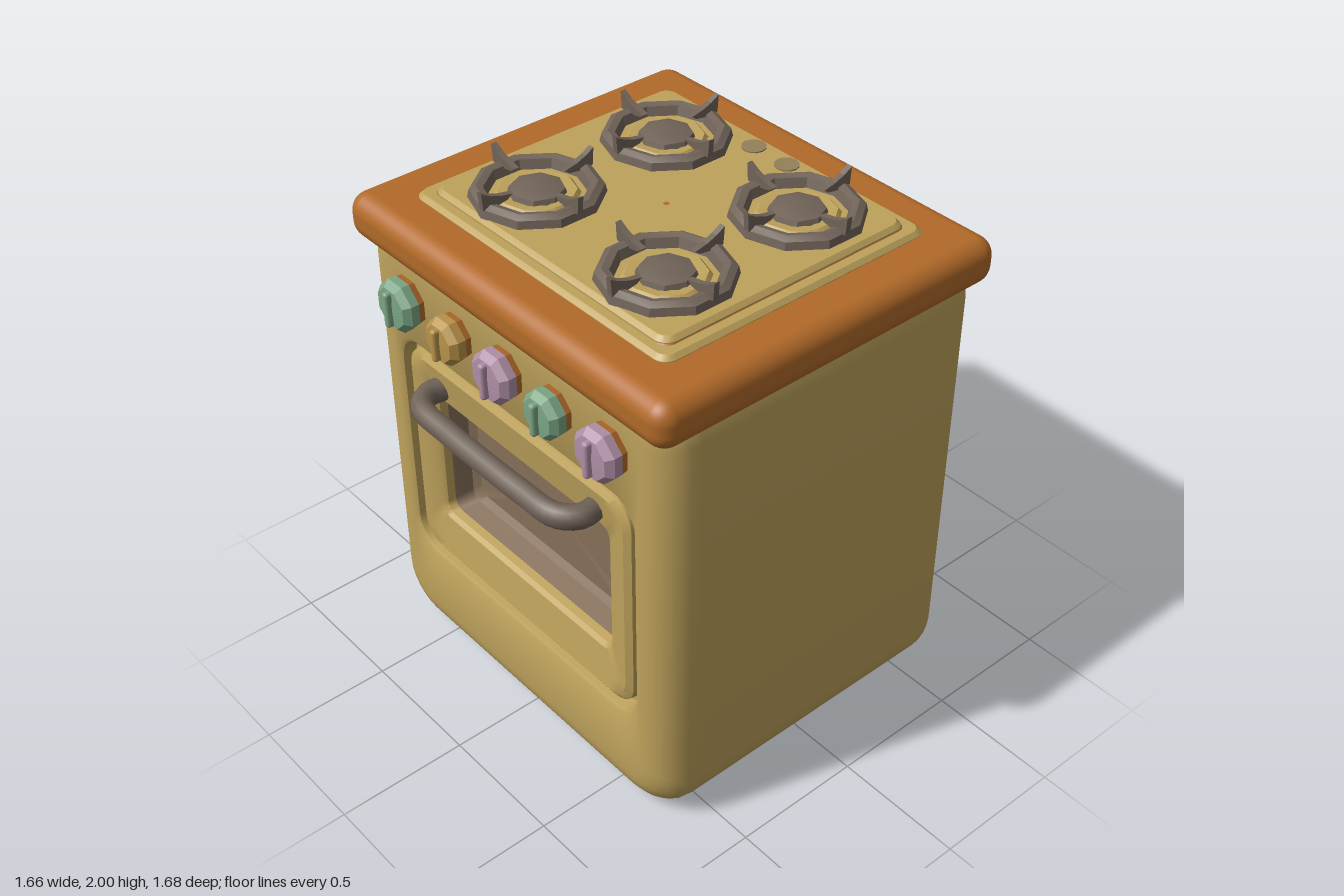
import * as THREE from 'three';
import { toCreasedNormals } from 'three/addons/utils/BufferGeometryUtils.js';
import { RoundedBoxGeometry } from 'three/addons/geometries/RoundedBoxGeometry.js';

const material = (name, color) => new THREE.MeshStandardMaterial({ name, color });

// Skin a stack of rounded rectangles [halfWidth, bottom, top, cornerRadius, z], running towards +z
function loft(rings, corner = 6) {
  const pos = [], index = [], n = 4 * (corner + 1);
  for (const [w, y0, y1, r, z] of rings) {
    const centres = [[w - r, y1 - r], [r - w, y1 - r], [r - w, y0 + r], [w - r, y0 + r]];
    centres.forEach(([cx, cy], q) => {
      for (let k = 0; k <= corner; k++) {
        const a = (q + k / corner) * Math.PI / 2;
        pos.push(cx + r * Math.cos(a), cy + r * Math.sin(a), z);
      }
    });
  }
  for (let i = 0; i < rings.length - 1; i++) {
    for (let j = 0; j < n; j++) {
      const a = i * n + j, b = i * n + (j + 1) % n;
      index.push(a, b, b + n, a, b + n, a + n);
    }
  }
  const g = new THREE.BufferGeometry();
  g.setAttribute('position', new THREE.Float32BufferAttribute(pos, 3));
  g.setIndex(index);
  return toCreasedNormals(g, 0.6);
}

export function createModel() {
  const model = new THREE.Group();
  model.name = 'stove';
  const enamel = material('mustard enamel', 0xbea25c);
  const orange = material('orange rim', 0xb26a29);
  const metal = material('grey brown metal', 0x716459);
  const glass = material('brown window', 0x86705a);
  const green = material('sage green', 0x7ca585);
  const pink = material('dusty pink', 0xb08fa6);
  const ochre = material('ochre', 0xb8944a);
  const stain = material('dull brown', 0x94805a);

  const add = (name, geometry, mat, x = 0, y = 0, z = 0, parent = model) => {
    const mesh = new THREE.Mesh(geometry, mat);
    mesh.name = name;
    mesh.position.set(x, y, z);
    parent.add(mesh);
    return mesh;
  };

  // Body: rounded outer skin, then the door groove, door face and window recess
  const R = 0.13, steps = 6;
  const skin = (inset, z) => [0.81 - inset, inset, 1.85 - inset, 0.19 - inset * 0.6, z];
  const back = [], front = [];
  for (let i = 0; i <= steps; i++) {
    const a = i / steps * Math.PI / 2;
    back.push(skin(R * (1 - Math.sin(a)), -0.69 + R * (1 - Math.cos(a))));
    front.push(skin(R * (1 - Math.cos(a)), 0.69 - R + R * Math.sin(a)));
  }
  add('bodyAndDoor', loft([
    [0.01, 0.9, 0.92, 0.005, -0.69], ...back, ...front,
    [0.65, 0.4, 1.38, 0.12, 0.69],
    [0.635, 0.415, 1.365, 0.11, 0.68],
    [0.63, 0.42, 1.36, 0.11, 0.63],
    [0.61, 0.435, 1.345, 0.1, 0.63],
    [0.605, 0.44, 1.34, 0.1, 0.67],
    [0.58, 0.465, 1.315, 0.09, 0.685],
    [0.55, 0.5, 1.28, 0.08, 0.68],
    [0.49, 0.615, 1.175, 0.05, 0.665],
    [0.475, 0.63, 1.16, 0.04, 0.65],
    [0.47, 0.635, 1.155, 0.04, 0.62],
  ]), enamel);
  add('ovenWindow', loft([
    [0.47, 0.635, 1.155, 0.04, 0.62],
    [0.455, 0.65, 1.14, 0.04, 0.55],
    [0.43, 0.675, 1.12, 0.04, 0.53],
    [0.01, 0.89, 0.91, 0.005, 0.53],
  ]), glass);

  // Handles: straight bar on the door, bowed rail at the back
  const rail = (name, points, radius, flat) => {
    const curve = new THREE.CatmullRomCurve3(points.map(([x, z]) => new THREE.Vector3(x, 0, z)));
    const g = new THREE.TubeGeometry(curve, 40, radius, 10);
    g.scale(1, flat, 1);
    return add(name, g, metal);
  };
  rail('doorHandle', [[-0.42, 0.65], [-0.425, 0.73], [-0.37, 0.787], [-0.2, 0.8], [0, 0.802],
    [0.2, 0.8], [0.37, 0.787], [0.425, 0.73], [0.42, 0.65]], 0.042, 1.08).position.y = 1.228;
  rail('backRail', [[-0.43, -0.67], [-0.4, -0.745], [-0.2, -0.79], [0, -0.813],
    [0.2, -0.79], [0.4, -0.745], [0.43, -0.67]], 0.027, 1.25).position.y = 1.585;

  // Control knobs: octagonal, with a vertical grip
  [[-0.54, 0.1, green], [-0.265, 0.09, ochre], [0, 0.1, pink], [0.265, 0.09, green], [0.53, 0.1, pink]]
    .forEach(([x, r, mat]) => {
      const knob = new THREE.Group();
      knob.name = 'knob';
      knob.position.set(x, 1.55, 0.685);
      model.add(knob);
      const turn = (profile) => {
        const g = new THREE.LatheGeometry(profile.map(([a, b]) => new THREE.Vector2(a, b)), 8, Math.PI / 8);
        g.rotateX(Math.PI / 2);
        return toCreasedNormals(g, 0.4);
      };
      add('knobBase', turn([[r * 0.92, 0], [r * 0.98, 0.028]]), orange, 0, 0, 0, knob);
      add('knobCap', turn([[r * 0.98, 0.028], [r, 0.06], [r * 0.78, 0.085], [0, 0.09]]), mat, 0, 0, 0, knob);
      add('knobGrip', new RoundedBoxGeometry(0.028, r * 1.4, 0.04, 2, 0.012), mat, 0, 0, 0.09, knob);
    });

  // Worktop rim and hob plate
  add('worktop', new RoundedBoxGeometry(1.66, 0.175, 1.47, 5, 0.07), orange, 0, 1.78, 0);
  const slab = (name, w, y0, y1, d, mat) => {
    const g = loft([
      [w, -d, d, 0.05, y0], [w, -d, d, 0.05, y1 - 0.015],
      [w - 0.015, -d + 0.015, d - 0.015, 0.04, y1], [0.01, -0.01, 0.01, 0.005, y1],
    ]);
    g.rotateX(-Math.PI / 2);
    add(name, g, mat);
  };
  slab('hobLip', 0.65, 1.85, 1.885, 0.57, enamel);
  slab('hobSeam', 0.612, 1.85, 1.89, 0.535, orange);
  slab('hobPlate', 0.6, 1.85, 1.907, 0.525, enamel);
  for (const x of [-0.085, 0.08]) {
    add('hobSpot', new THREE.CylinderGeometry(0.045, 0.045, 0.008, 12), stain, x, 1.908, -0.475);
  }

  // Burners: ten-sided ring, inner bowl, cap and four upturned prongs
  const lathe = (profile, sides) =>
    toCreasedNormals(new THREE.LatheGeometry(profile.map(([a, b]) => new THREE.Vector2(a, b)), sides), 0.5);
  const ring = lathe([[0.235, 0], [0.228, 0.03], [0.205, 0.043], [0.18, 0.036], [0.168, 0]], 10);
  const bowl = lathe([[0.15, 0], [0.135, 0.016], [0.1, 0.012]], 10);
  const cap = lathe([[0.105, 0], [0.095, 0.028], [0.06, 0.038], [0, 0.042]], 8);
  const claw = new THREE.Shape([[0.11, 0.05], [0.13, 0.035], [0.19, 0.025], [0.23, 0.03],
    [0.235, 0.095], [0.2, 0.075], [0.16, 0.06]].map(([a, b]) => new THREE.Vector2(a, b)));
  const prong = new THREE.ExtrudeGeometry(claw, { depth: 0.022, bevelEnabled: false });
  prong.translate(0, 0, -0.011);
  for (const x of [-0.33, 0.33]) {
    for (const z of [-0.285, 0.285]) {
      const burner = new THREE.Group();
      burner.name = 'burner';
      burner.position.set(x, 1.905, z);
      model.add(burner);
      add('grateRing', ring, metal, 0, 0, 0, burner);
      add('burnerBowl', bowl, enamel, 0, 0, 0, burner);
      add('burnerCap', cap, metal, 0, 0, 0, burner);
      for (let i = 0; i < 4; i++) {
        add('prong', prong, metal, 0, 0, 0, burner).rotation.y = i * Math.PI / 2;
      }
    }
  }
  return model;
}
